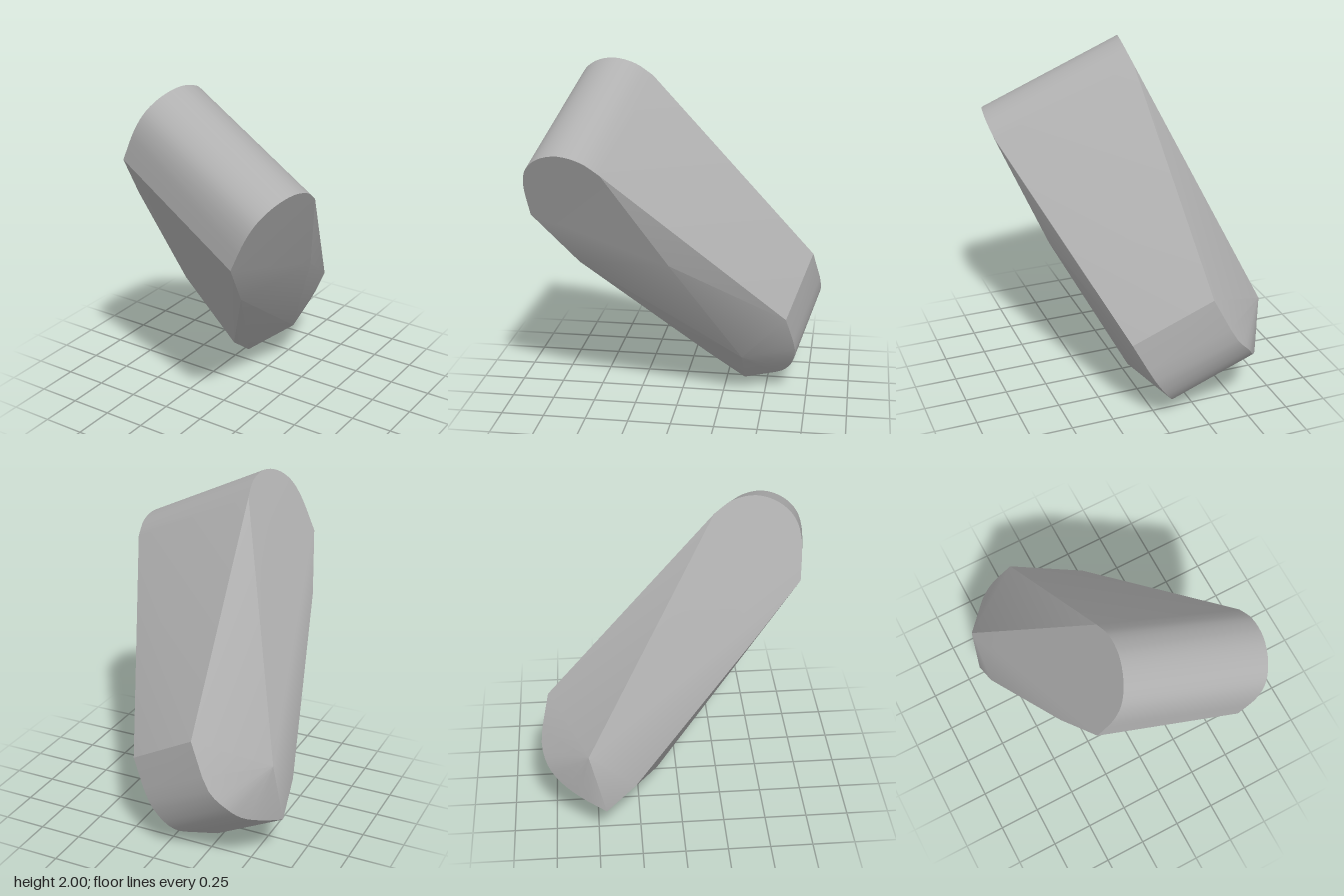
import * as THREE from 'three';
import { ConvexGeometry } from 'three/addons/geometries/ConvexGeometry.js';
import { toCreasedNormals } from 'three/addons/utils/BufferGeometryUtils.js';

const V = (x, y, z) => new THREE.Vector3(x, y, z);
const smooth = (pts, n) => new THREE.CatmullRomCurve3(pts, false, 'centripetal').getPoints(n);

export function createModel() {
  const group = new THREE.Group();
  const grey = new THREE.MeshStandardMaterial({ color: 0xb0b0b0 });
  grey.name = 'grey';

  // Width axis of the rounded top, and the plane of its right end
  const axis = V(0.805, -0.4, 0.155);
  const onEnd = (y, z) => V((-0.847 + 0.4 * y - 0.155 * z) / 0.81, y, z);

  // Upper end outline, swept across the full width
  const arc = smooth([[1.6, 0.645], [1.8, 0.655], [1.9, 0.625], [1.97, 0.545],
    [2, 0.425], [1.97, 0.295], [1.9, 0.195]].map(p => onEnd(...p)), 24);
  const upper = [...arc, onEnd(1.3, 0.395), onEnd(1.34, -0.14)];
  const points = upper.flatMap(p => [p, p.clone().add(axis)]);

  // Narrower lower end: left and right rims
  const leftRim = smooth([V(0.18, 0.55, -0.63), V(0.06, 0.32, -0.68), V(-0.02, 0.2, -0.66),
    V(-0.08, 0.12, -0.6), V(-0.15, 0.06, -0.48), V(-0.22, 0, -0.36)], 15);
  const rightRim = smooth([V(-0.25, 0.82, -0.76), V(-0.38, 0.57, -0.81), V(-0.47, 0.47, -0.78),
    V(-0.53, 0.39, -0.71), V(-0.6, 0.33, -0.6), V(-0.67, 0.27, -0.45)], 15);
  points.push(...leftRim, ...rightRim);

  // Front bend of the lower end, then the swell of each side
  points.push(V(-0.18, 0.17, -0.13), V(-0.655, 0.44, -0.28));
  points.push(V(0.11, 0.27, -0.37), V(-0.64, 0.65, -0.54));

  const geometry = toCreasedNormals(new ConvexGeometry(points), 0.5);
  const body = new THREE.Mesh(geometry, grey);
  body.name = 'roundedBlock';
  group.add(body);
  return group;
}
